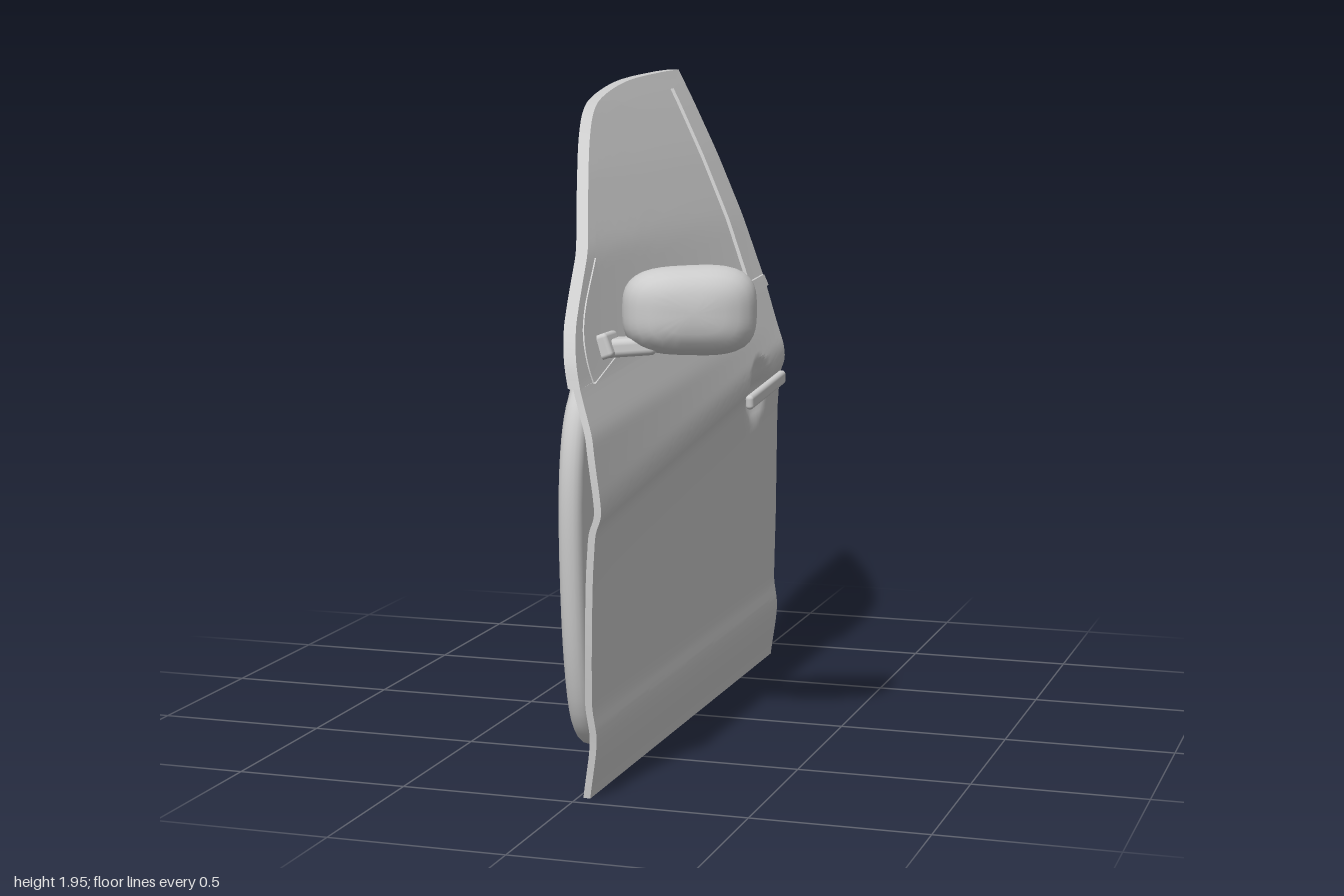
import * as THREE from 'three';
import { toCreasedNormals, mergeVertices } from 'three/addons/utils/BufferGeometryUtils.js';
import { RoundedBoxGeometry } from 'three/addons/geometries/RoundedBoxGeometry.js';

const grey = new THREE.MeshStandardMaterial({ color: 0xcccccc, side: THREE.DoubleSide });

// Heights of the belt line and of the body crease along the door
const belt = z => 1.19 - 0.064 * z;
const crease = z => 0.906 - 0.115 * z;

// Outer skin: x for a given z and y
function rawX(z, y) {
  const c = crease(z), b = belt(z);
  const keys = [[-0.1, 0.03], [0, 0.035], [0.13, 0.056], [0.18, 0.06], [0.26, 0.049], [0.5, 0.057],
    [c - 0.16, 0.062], [c - 0.04, 0.07], [c, 0.088], [c + 0.05, 0.083], [b - 0.12, 0.055], [b, 0.01],
    [1.47, -0.085], [1.67, -0.183], [1.84, -0.275], [1.945, -0.335], [2.1, -0.42]];
  const i = Math.max(1, keys.findIndex(k => k[0] >= y));
  const [y0, x0] = keys[i - 1], [y1, x1] = keys[i];
  return x0 + (x1 - x0) * (y - y0) / (y1 - y0);
}
function skinX(z, y) {
  let x = 0;
  for (let k = -2; k <= 2; k++) x += rawX(z, y + k * 0.009) / 5;
  // finger recess behind the handle
  const r2 = ((z + 0.555) / 0.128) ** 2 + ((y - 0.935) / 0.108) ** 2;
  return x - 0.035 * Math.max(0, 1 - r2);
}

const curve = pts => new THREE.CatmullRomCurve3(pts.map(([z, y]) => new THREE.Vector3(0, y, z)));

function add(parent, name, geometry, x = 0, y = 0, z = 0) {
  const mesh = new THREE.Mesh(geometry, grey);
  mesh.name = name;
  mesh.position.set(x, y, z);
  parent.add(mesh);
  return mesh;
}

// Solid sheet ruled between two [z, y] curves, lying on the skin
function sheet(a, b, n, m, lift, thick) {
  const A = curve(a), B = curve(b), pos = [], idx = [];
  const count = (n + 1) * (m + 1), at = (i, j) => i * (m + 1) + j;
  for (const off of [lift, lift - thick]) {
    for (let i = 0; i <= n; i++) {
      const p = A.getPoint(i / n), q = B.getPoint(i / n);
      for (let j = 0; j <= m; j++) {
        const v = p.clone().lerp(q, j / m);
        pos.push(skinX(v.z, v.y) + off, v.y, v.z);
      }
    }
  }
  // flip when the curves run the other way round, so the outside faces +x
  const dA = A.getTangent(0.5), dB = B.getPoint(0.5).sub(A.getPoint(0.5));
  const flip = dA.cross(dB).x < 0;
  const tri = (p, q, r) => flip ? idx.push(p, r, q) : idx.push(p, q, r);
  for (let i = 0; i < n; i++) for (let j = 0; j < m; j++) {
    const p = at(i, j), q = at(i + 1, j), r = at(i + 1, j + 1), s = at(i, j + 1);
    tri(p, q, r); tri(p, r, s);
    tri(p + count, r + count, q + count); tri(p + count, s + count, r + count);
  }
  const rim = [];
  for (let i = 0; i < n; i++) rim.push(at(i, 0));
  for (let j = 0; j < m; j++) rim.push(at(n, j));
  for (let i = n; i > 0; i--) rim.push(at(i, m));
  for (let j = m; j > 0; j--) rim.push(at(0, j));
  rim.forEach((p, k) => {
    const q = rim[(k + 1) % rim.length];
    tri(p, p + count, q + count); tri(p, q + count, q);
  });
  const g = new THREE.BufferGeometry();
  g.setAttribute('position', new THREE.Float32BufferAttribute(pos, 3));
  g.setIndex(idx);
  return toCreasedNormals(g, 0.6);
}

// Flat plate from a closed smooth [z, y] outline, growing towards -x
function plate(pts, depth, bevel) {
  const shape = new THREE.Shape(new THREE.SplineCurve(pts.map(p => new THREE.Vector2(...p))).getPoints(80));
  const g = new THREE.ExtrudeGeometry(shape, {
    depth: depth - 2 * bevel, bevelSize: bevel, bevelThickness: bevel, bevelOffset: -bevel, bevelSegments: 4 });
  g.translate(0, 0, bevel);
  g.rotateY(-Math.PI / 2);
  return toCreasedNormals(g, 0.6);
}

// Rounded rectangle outline
function rounded(cz, cy, hz, hy, tilt) {
  return Array.from({ length: 33 }, (_, i) => {
    const t = (i % 32) / 32 * Math.PI * 2, c = Math.cos(t), s = Math.sin(t);
    const z = hz * Math.sign(c) * Math.abs(c) ** 0.5;
    return [cz + z, cy + hy * Math.sign(s) * Math.abs(s) ** 0.5 + tilt * z];
  });
}

function mirrorHousing() {
  // flat back, domed front
  const profile = [[0, 0.012], [0.88, 0.012], [0.91, 0], [0.96, 0], [0.99, 0.012], [1, 0.035], [0.98, 0.06],
    [0.92, 0.088], [0.82, 0.112], [0.66, 0.131], [0.45, 0.142], [0.22, 0.147], [0, 0.148]];
  let g = new THREE.LatheGeometry(profile.map(p => new THREE.Vector2(...p)), 48);
  const p = g.attributes.position;
  for (let i = 0; i < p.count; i++) {
    const x = p.getX(i), z = p.getZ(i), r = Math.hypot(x, z);
    // squarer than an ellipse; the poles stay on the axis
    const k = r > 1e-6 ? (Math.abs(x / r) ** 3.2 + Math.abs(z / r) ** 3.2) ** (-1 / 3.2) : 0;
    p.setX(i, x * k * 0.188);
    p.setZ(i, z * k * 0.13 * (0.96 + 0.05 * x));
  }
  g.deleteAttribute('normal');
  g.deleteAttribute('uv');
  g = mergeVertices(g, 1e-5);
  const u = new THREE.Vector3(0.915, 0, -0.403), w = new THREE.Vector3(0.403, 0, 0.915);
  g.applyMatrix4(new THREE.Matrix4().makeBasis(u, w, u.clone().cross(w)));
  return toCreasedNormals(g, 0.7);
}

export function createModel() {
  const door = new THREE.Group();
  door.name = 'carDoor';

  // Outer skin below the windows
  const frontEdge = [[0.955, 0], [0.965, 0.15], [0.972, 0.22], [0.99, 0.42], [0.999, 0.62], [1, 0.76],
    [0.998, 0.84], [0.985, 0.98], [0.95, 1.129]];
  const rearEdge = [[-0.855, 0], [-0.846, 0.17], [-0.843, 0.24], [-0.835, 0.46], [-0.83, 0.74], [-0.83, 0.97],
    [-0.83, 1.04], [-0.842, 1.12], [-0.87, 1.246]];
  add(door, 'outerSkin', sheet(frontEdge, rearEdge, 72, 72, 0, 0.02));

  // Window frame
  const roofOuter = [[0.95, 1.129], [0.925, 1.2], [0.87, 1.275], [0.8, 1.335], [0.6, 1.48], [0.3, 1.69],
    [0.1, 1.805], [0, 1.848], [-0.1, 1.875], [-0.4, 1.918], [-0.8, 1.94], [-0.998, 1.945]];
  const roofInner = [[0.85, 1.136], [0.852, 1.19], [0.83, 1.255], [0.77, 1.32], [0.575, 1.45], [0.28, 1.655],
    [0.08, 1.765], [0, 1.803], [-0.1, 1.832], [-0.4, 1.867], [-0.75, 1.883], [-0.84, 1.887]];
  add(door, 'frontWindowFrame', sheet(roofOuter, roofInner, 66, 3, 0, 0.035));
  add(door, 'rearWindowPillar', sheet([[-0.998, 1.945], [-0.935, 1.59], [-0.87, 1.246]],
    [[-0.84, 1.887], [-0.775, 1.57], [-0.71, 1.235]], 20, 3, 0, 0.035));

  // Window glass, corner patch and belt moulding
  const sill = [0.85, 0.845, 0.81, 0.76, 0.57, 0.28, 0.08, 0, -0.1, -0.38, -0.64, -0.71].map(z => [z, belt(z)]);
  add(door, 'windowGlass', sheet(roofInner, sill, 44, 14, -0.012, 0.01));
  add(door, 'mirrorCornerPatch', sheet(roofInner.slice(0, 5),
    [0.85, 0.84, 0.79, 0.74, 0.65].map(z => [z, belt(z)]), 16, 6, 0.004, 0.03));
  add(door, 'beltMoulding', sheet([0.85, 0, -0.868].map(z => [z, belt(z) - 0.003]),
    [0.65, 0, -0.865].map(z => [z, belt(z) + 0.032]), 24, 3, 0.008, 0.035));

  // Inner panel with cover plates and trim clips
  const panelOutline = [[-0.78, 1.18], [-0.79, 0.9], [-0.77, 0.6], [-0.69, 0.36], [-0.5, 0.18], [-0.2, 0.1],
    [0.2, 0.08], [0.65, 0.08], [0.82, 0.14], [0.9, 0.35], [0.935, 0.7], [0.92, 0.95], [0.85, 1.1],
    [0.72, 1.15], [0, 1.19], [-0.7, 1.21], [-0.78, 1.18]];
  add(door, 'innerPanel', plate(panelOutline, 0.068, 0.03));
  const covers = [[-0.24, 0.92, 0.29, 0.08, -0.04], [-0.07, 0.42, 0.38, 0.18, 0],
    [0.57, 0.84, 0.08, 0.11, 0], [0.58, 0.54, 0.09, 0.1, 0]];
  covers.forEach(c => add(door, 'coverPlate', plate(rounded(...c), 0.006, 0.001), -0.066));
  const clips = [[-0.7, 1.02], [-0.7, 0.78], [-0.6, 0.42], [-0.4, 0.22], [-0.1, 0.16], [0.3, 0.16],
    [0.7, 0.2], [0.82, 0.5], [0.83, 0.8], [0.76, 1.05], [-0.5, 1.13]];
  const clip = new THREE.CylinderGeometry(0.016, 0.016, 0.012, 16).rotateZ(Math.PI / 2);
  clips.forEach(([z, y]) => add(door, 'trimClip', clip, -0.07, y, z));

  // Door handle
  const handle = add(door, 'doorHandle', new RoundedBoxGeometry(0.026, 0.046, 0.395, 5, 0.0125), 0.094, 0.934, -0.578);
  handle.rotation.x = 0.09;

  // Wing mirror
  const mirror = new THREE.Group();
  mirror.name = 'wingMirror';
  add(mirror, 'mirrorHousing', mirrorHousing(), 0.197, 1.315, 0.575);
  const arm = add(mirror, 'mirrorArm', new RoundedBoxGeometry(0.16, 0.052, 0.085, 4, 0.018), 0.055, 1.216, 0.67);
  arm.rotation.set(0, 0.2, 0.08);
  add(mirror, 'mirrorBase', new RoundedBoxGeometry(0.045, 0.07, 0.1, 4, 0.012), 0, 1.22, 0.695).rotation.z = 0.35;
  door.add(mirror);

  return door;
}
